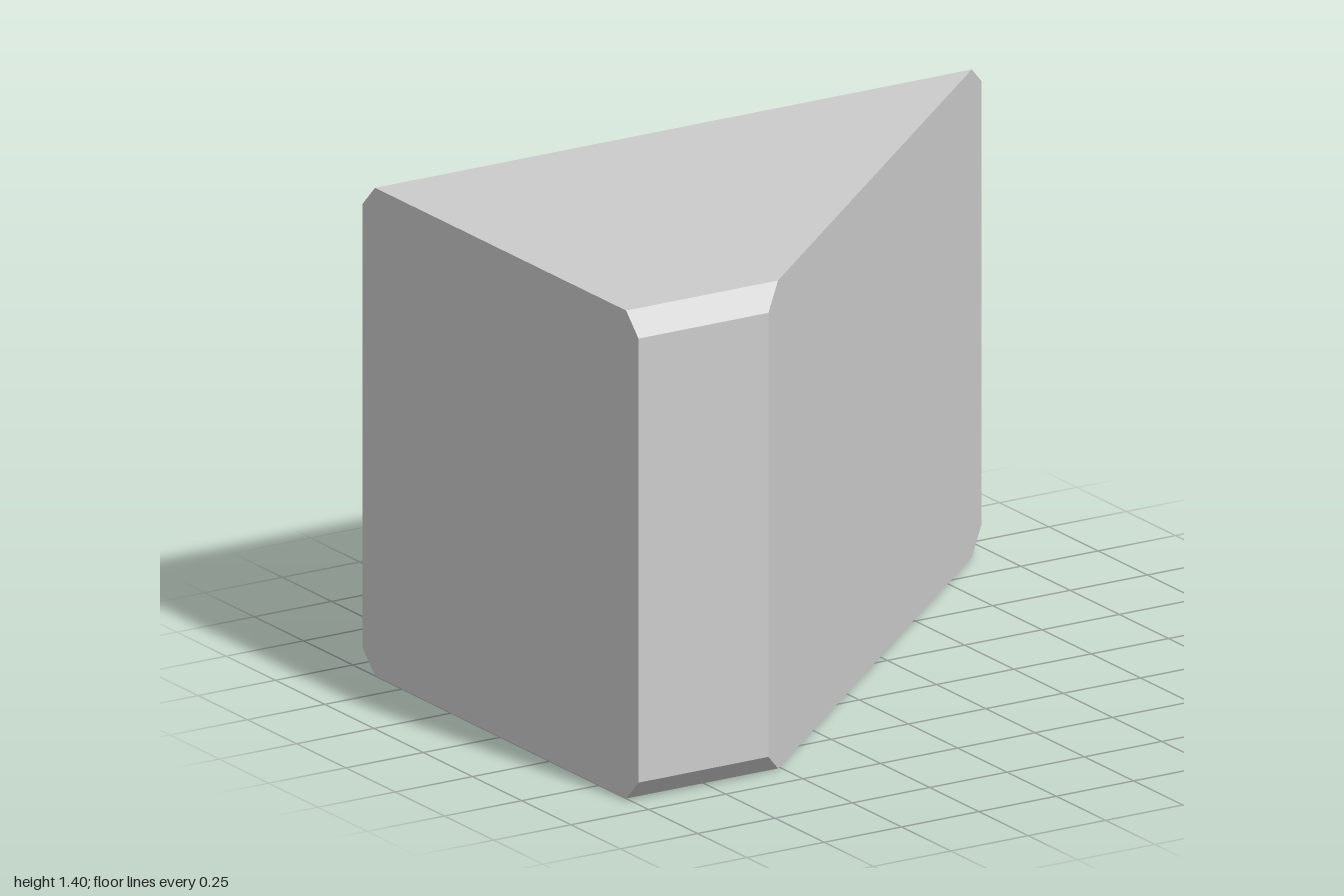
import * as THREE from 'three';

export function createModel() {
  const group = new THREE.Group();
  const half = 0.7, height = 1.4, bevel = 0.063;

  // Square cross-section with bevelled corners
  const inner = half - bevel;
  const section = new THREE.Shape([
    [-inner, 0], [inner, 0], [half, bevel], [half, height - bevel],
    [inner, height], [-inner, height], [-half, height - bevel], [-half, bevel],
  ].map(([x, y]) => new THREE.Vector2(x, y)));

  // Run the section along x, then slant the far end so the front is shorter
  const geometry = new THREE.ExtrudeGeometry(section, { depth: 1, bevelEnabled: false });
  geometry.rotateY(Math.PI / 2);
  const p = geometry.attributes.position;
  for (let i = 0; i < p.count; i++) {
    const slantX = 0.21 - p.getZ(i) * (0.79 / half);
    p.setX(i, p.getX(i) < 0.5 ? -1 : slantX);
  }
  geometry.computeVertexNormals();

  const block = new THREE.Mesh(
    geometry,
    new THREE.MeshStandardMaterial({ color: 0xcccccc, flatShading: true }),
  );
  block.name = 'slantedBlock';
  group.add(block);
  return group;
}
